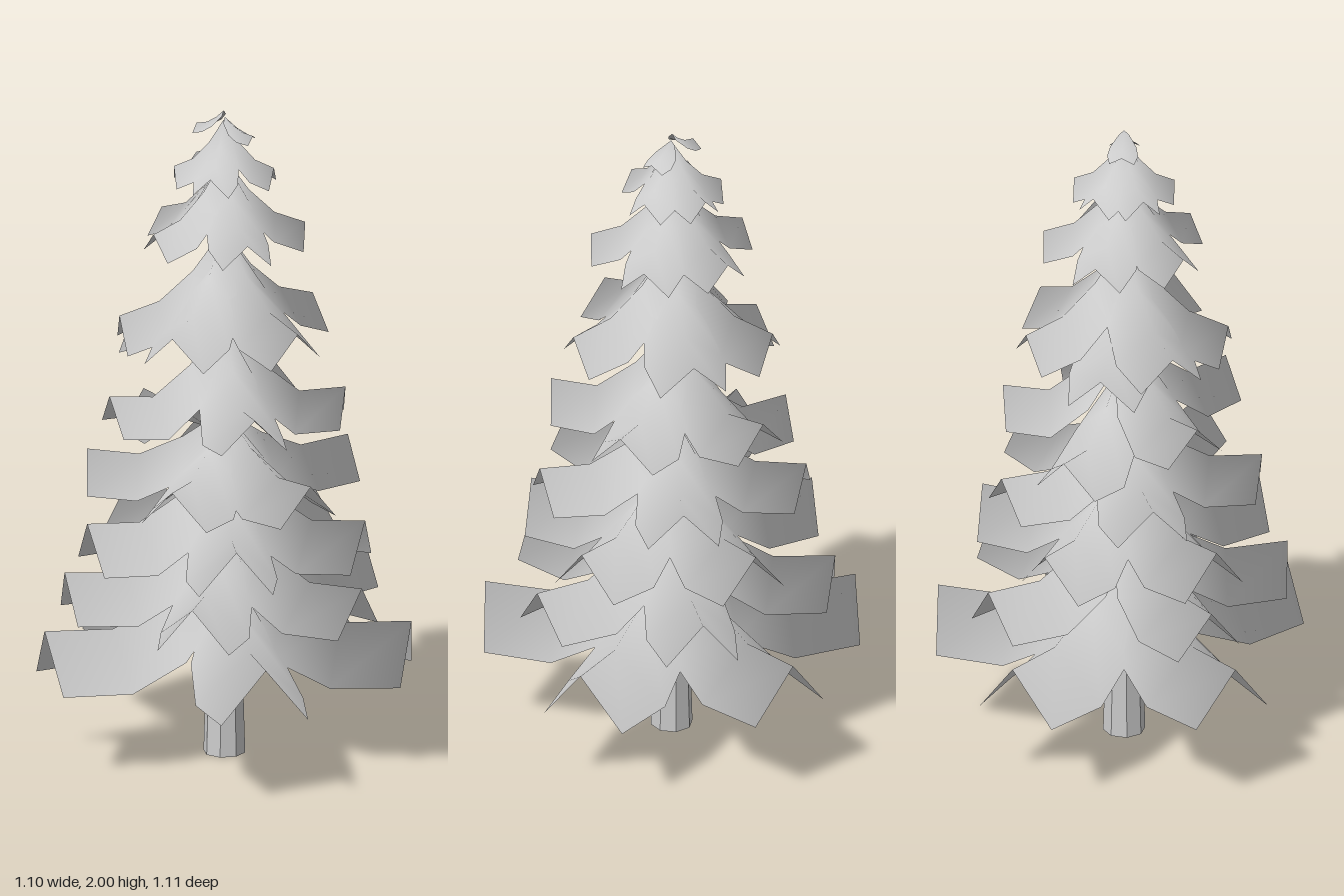
import * as THREE from 'three';

const material = new THREE.MeshStandardMaterial({ color: 0xcccccc, side: THREE.DoubleSide });

// Ridge height at each cross-section: lower branches level out, upper ones keep sloping
const level = [1, 0.38, -0.08, 0];
const sloping = [1, 0.52, 0.16, 0];

// Tiers from bottom to top: r = reach, tip = ridge height at the tip, rise = climb to the trunk,
// drop = fold depth at the tip, hw = half width at the tip, angles in degrees from +x toward +z,
// dips = lowering of single branches
const tiers = [
  { r: 0.56, tip: 0.43, rise: 0.17, drop: 0.168, hw: 0.132, ridge: level, angles: [-4, 66, 151, 223.5, 287] },
  { r: 0.488, tip: 0.595, rise: 0.17, drop: 0.137, hw: 0.108, ridge: level, angles: [22, 90, 155, 243, 316] },
  { r: 0.435, tip: 0.76, rise: 0.17, drop: 0.138, hw: 0.11, ridge: level, angles: [5, 74, 148, 220, 292] },
  { r: 0.41, tip: 0.93, rise: 0.13, drop: 0.115, hw: 0.105, ridge: level, angles: [40, 101, 175, 250, 322] },
  { r: 0.36, tip: 1.145, rise: 0.19, drop: 0.105, hw: 0.1, ridge: level, angles: [-8, 64, 150, 217, 278], dips: [0, 0, 0, 0.1, 0] },
  { r: 0.315, tip: 1.375, rise: 0.25, drop: 0.095, hw: 0.1, ridge: sloping, angles: [35, 108, 160, 200, 255, 315], dips: [0, 0, 0, 0.06, 0, 0] },
  { r: 0.24, tip: 1.65, rise: 0.2, drop: 0.07, hw: 0.075, ridge: sloping, angles: [-13, 62, 140, 208, 283] },
  { r: 0.15, tip: 1.83, rise: 0.14, drop: 0.055, hw: 0.055, ridge: sloping, angles: [0, 95, 165, 225, 285] },
  { r: 0.09, tip: 1.95, rise: 0.05, drop: 0.02, hw: 0.037, ridge: sloping, angles: [8, 192], dips: [0.02, 0] },
];

// Cross-sections along a branch: reach, width and fold as fractions of the tier values
const sections = [
  { at: 0.02, width: 0.4, fold: 0.75 },
  { at: 0.3, width: 1.05, fold: 0.95 },
  { at: 0.62, width: 1.24, fold: 0.92 },
  { at: 1, width: 1, fold: 1 },
];

// A drooping sheet pointing along +x, folded down on both sides of its ridge.
// Its normals fan out from the trunk, so that the foliage shades as one rounded mass.
function branchGeometry({ r, tip, rise, drop, hw, ridge }) {
  const positions = [];
  const normals = [];
  const indices = [];
  sections.forEach((s, i) => {
    for (const side of [-1, 0, 1]) {
      const edge = Math.abs(side);
      const x = r * s.at * (1 - 0.03 * edge);
      const z = side * hw * s.width;
      positions.push(x, tip + rise * ridge[i] - drop * s.fold * edge, z);
      normals.push(...new THREE.Vector3(x, 0.12, z).normalize());
    }
    if (i === 0) return;
    for (const k of [0, 1]) {
      const a = (i - 1) * 3 + k;
      const b = i * 3 + k;
      indices.push(a, a + 1, b, b, a + 1, b + 1);
    }
  });
  const geometry = new THREE.BufferGeometry();
  geometry.setAttribute('position', new THREE.Float32BufferAttribute(positions, 3));
  geometry.setAttribute('normal', new THREE.Float32BufferAttribute(normals, 3));
  geometry.setIndex(indices);
  return geometry;
}

export function createModel() {
  const model = new THREE.Group();
  model.name = 'coniferTree';

  // Tapered trunk
  const trunkMaterial = new THREE.MeshStandardMaterial({ color: 0xcccccc, flatShading: true });
  const trunk = new THREE.Mesh(new THREE.CylinderGeometry(0.008, 0.063, 1.95, 8), trunkMaterial);
  trunk.name = 'trunk';
  trunk.position.y = 0.975;
  model.add(trunk);

  // Rings of branches
  tiers.forEach((tier, i) => {
    const ring = new THREE.Group();
    ring.name = `branchTier${i + 1}`;
    const geometry = branchGeometry(tier);
    tier.angles.forEach((angle, k) => {
      const branch = new THREE.Mesh(geometry, material);
      branch.name = 'branch';
      branch.rotation.y = -THREE.MathUtils.degToRad(angle);
      branch.position.y = -(tier.dips?.[k] ?? 0);
      ring.add(branch);
    });
    model.add(ring);
  });

  return model;
}
